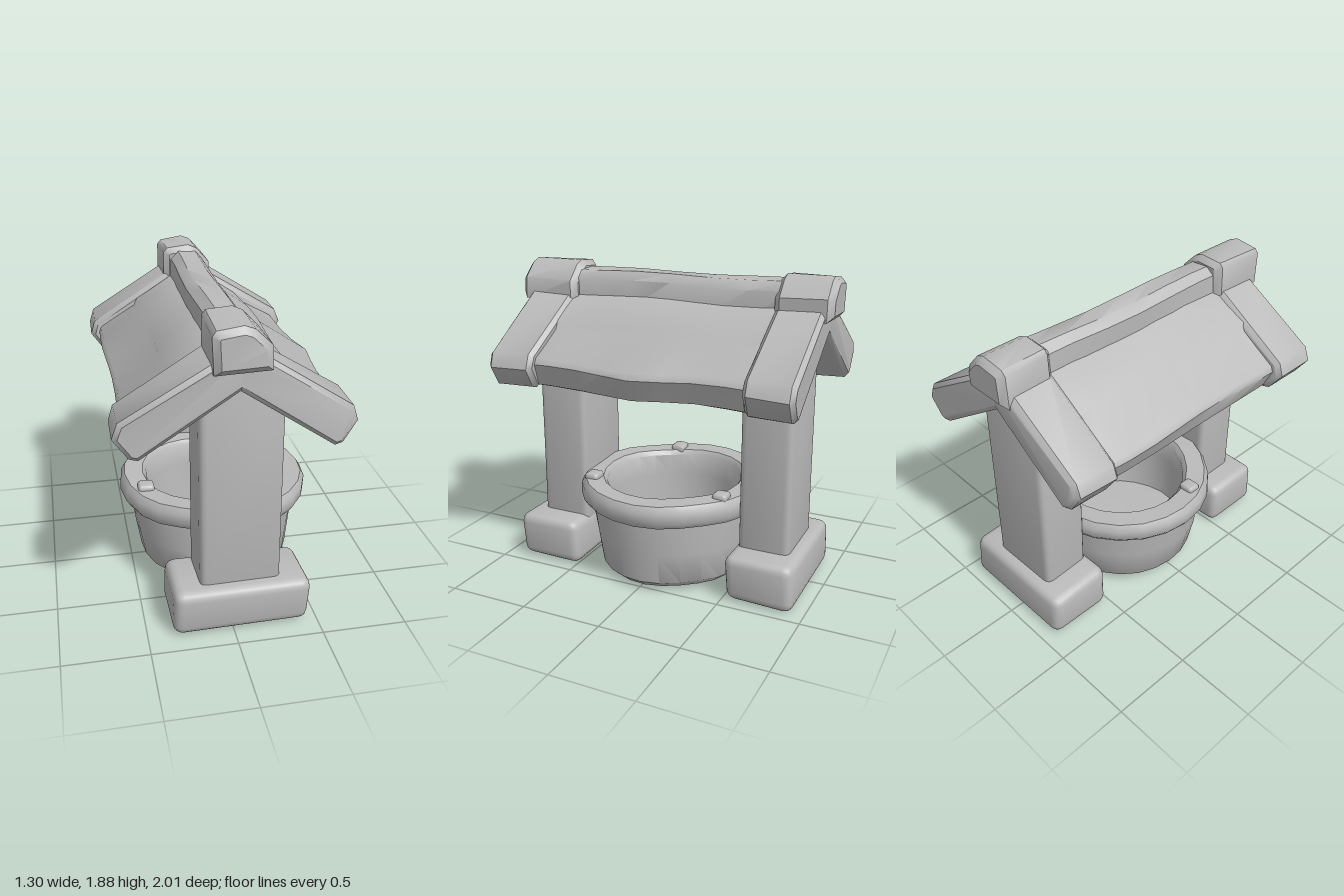
import * as THREE from 'three';
import { toCreasedNormals } from 'three/addons/utils/BufferGeometryUtils.js';
import { RoundedBoxGeometry } from 'three/addons/geometries/RoundedBoxGeometry.js';

const stone = new THREE.MeshStandardMaterial({ color: 0xbababa });
stone.name = 'grey stone';

// Uneven hand-cut surface: shift each vertex by a smooth function of its place
function roughen(geometry, amount) {
  const p = geometry.attributes.position;
  for (let i = 0; i < p.count; i++) {
    const x = p.getX(i), y = p.getY(i), z = p.getZ(i);
    p.setXYZ(i,
      x + amount * Math.sin(9 * y + 5 * z + 1),
      y + amount * Math.sin(8 * x + 6 * z),
      z + amount * Math.sin(7 * x + 8 * y + 2));
  }
  return geometry;
}

function addPart(group, name, geometry, amount = 0.007, crease = 0.75) {
  const mesh = new THREE.Mesh(toCreasedNormals(roughen(geometry, amount), crease), stone);
  mesh.name = name;
  group.add(mesh);
  return mesh;
}

// Rounded block given by its limits on each axis
function block([x0, x1], [y0, y1], [z0, z1], radius) {
  return new RoundedBoxGeometry(x1 - x0, y1 - y0, z1 - z0, 2, radius)
    .translate((x0 + x1) / 2, (y0 + y1) / 2, (z0 + z1) / 2);
}

// Outline in x and y, bevelled and extruded from z0 to z1
function prism(points, z0, z1, bevel, steps = 1) {
  const shape = new THREE.Shape(points.map(([x, y]) => new THREE.Vector2(x, y)));
  return new THREE.ExtrudeGeometry(shape, {
    depth: z1 - z0 - 2 * bevel, steps, bevelEnabled: true, bevelSegments: 1,
    bevelThickness: bevel, bevelSize: bevel, bevelOffset: -bevel,
  }).translate(0, 0, z0 + bevel);
}

// Complete a gable outline from its right half (first and last point on the axis)
const gable = half => [...half, ...half.slice(1, -1).reverse().map(([x, y]) => [-x, y])];

export function createModel() {
  const well = new THREE.Group();
  well.name = 'well';
  const cx = 0.045; // pillars and basin sit slightly off the ridge

  // Foot stones and pillars
  addPart(well, 'frontFoot', block([-0.35, 0.445], [0.008, 0.287], [0.485, 0.895], 0.055));
  addPart(well, 'backFoot', block([-0.35, 0.445], [0.008, 0.287], [-0.925, -0.515], 0.055));
  addPart(well, 'frontPillar', block([-0.19, 0.28], [0.2, 1.55], [0.5, 0.815], 0.04));
  addPart(well, 'backPillar', block([-0.19, 0.28], [0.2, 1.55], [-0.845, -0.535], 0.04));

  // Hollow basin with a thick rim
  const profile = [
    [0, 0.015], [0.43, 0.015], [0.48, 0.06], [0.505, 0.25], [0.525, 0.45],
    [0.565, 0.45], [0.59, 0.485], [0.59, 0.55], [0.565, 0.588],
    [0.45, 0.588], [0.425, 0.56], [0.42, 0.42], [0.40, 0.12], [0, 0.12],
  ].map(([r, y]) => new THREE.Vector2(r, y));
  addPart(well, 'basin', new THREE.LatheGeometry(profile, 24).scale(1, 1, 0.97)
    .translate(cx, 0, -0.015));

  // Small stones on the rim
  for (const [x, z] of [[-0.41, 0.16], [0.31, 0.41], [0.3, -0.44]]) {
    addPart(well, 'rimStone', block([x - 0.05, x + 0.05], [0.55, 0.618], [z - 0.045, z + 0.045], 0.02), 0.004);
  }

  // Roof slopes with a low step between the two rows of slabs
  const roof = new THREE.Group();
  roof.name = 'roof';
  well.add(roof);
  const slope = gable([
    [0, 1.56], [0.49, 1.185], [0.535, 1.2], [0.59, 1.33], [0.575, 1.365],
    [0.35, 1.5], [0.33, 1.545], [0.1, 1.685], [0, 1.72],
  ]);
  const slabs = prism(slope, -0.74, 0.74, 0.01, 8);
  // Right eave bulges at the middle of its length
  const p = slabs.attributes.position;
  for (let i = 0; i < p.count; i++) {
    if (p.getX(i) > 0.5) p.setX(i, p.getX(i) + 0.05 * Math.max(0, 1 - Math.abs(p.getZ(i)) / 0.3));
  }
  addPart(roof, 'roofSlabs', slabs, 0.008);

  // Gable beams at both ends
  const beam = gable([
    [0, 1.53], [0.52, 1.175], [0.565, 1.19], [0.645, 1.31], [0.615, 1.395],
    [0.14, 1.69], [0, 1.74],
  ]);
  addPart(roof, 'frontGableBeam', prism(beam, 0.635, 0.935, 0.025));
  addPart(roof, 'backGableBeam', prism(beam, -0.955, -0.665, 0.025));

  // Ridge beam and its end caps
  const ridge = [[-0.11, 1.62], [0.1, 1.62], [0.1, 1.78], [0.055, 1.83], [-0.06, 1.835], [-0.11, 1.79]];
  addPart(roof, 'ridgeBeam', prism(ridge, -0.75, 0.75, 0.01, 6), 0.006);
  const cap = [[-0.15, 1.64], [0.15, 1.64], [0.15, 1.77], [0.065, 1.86], [0.01, 1.883], [-0.13, 1.868], [-0.152, 1.84]];
  addPart(roof, 'frontRidgeCap', prism(cap, 0.61, 1.0, 0.035), 0.005);
  addPart(roof, 'backRidgeCap', prism(cap, -1.0, -0.66, 0.035).translate(0, -0.015, 0), 0.005);

  return well;
}
